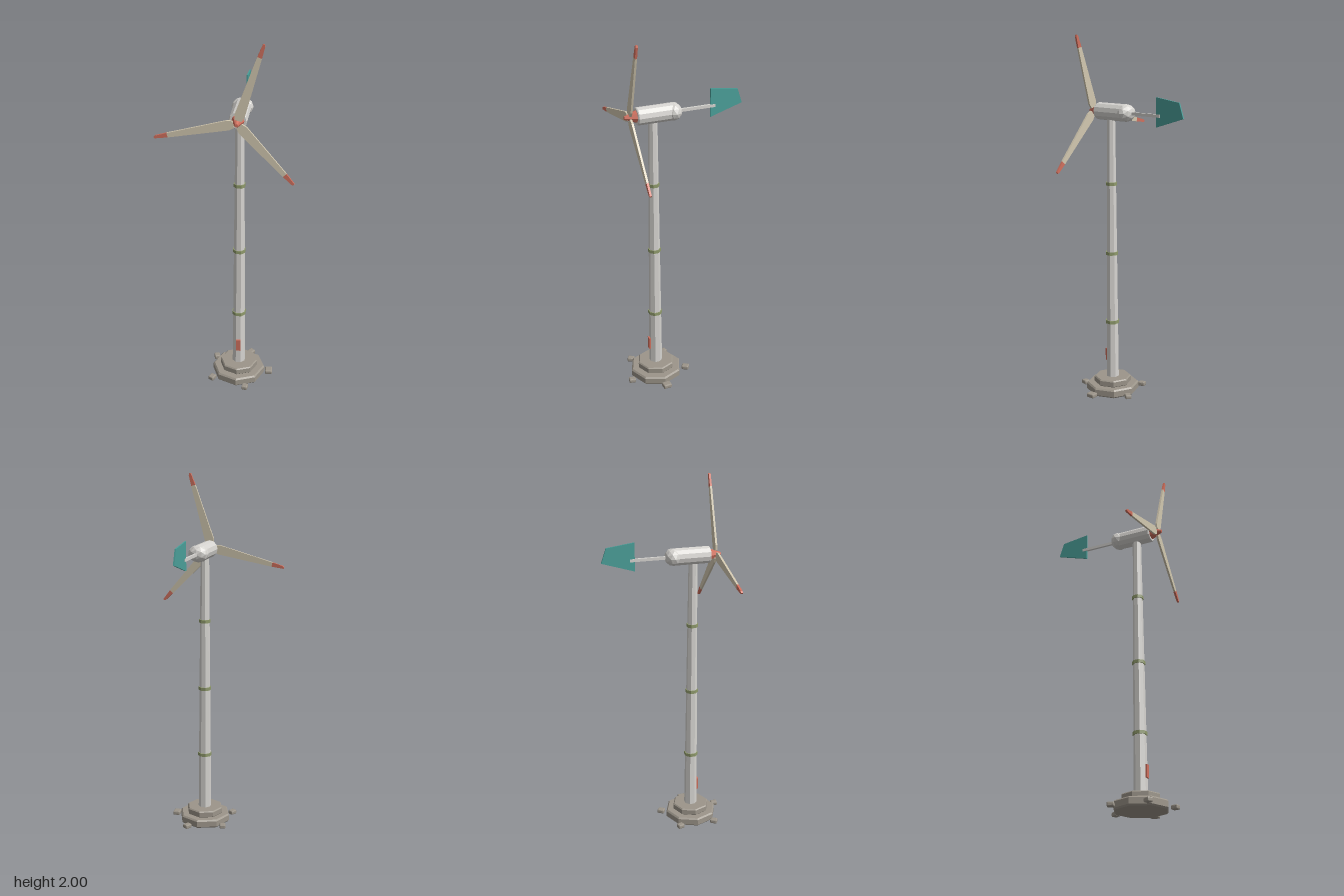
import * as THREE from 'three';
import { RoundedBoxGeometry } from 'three/addons/geometries/RoundedBoxGeometry.js';

const AX = 0.063, AZ = 0.157; // tower axis
const HUB_Y = 1.593;          // rotor axis height

export function createModel() {
  const model = new THREE.Group();
  const mat = (name, color) => {
    const m = new THREE.MeshStandardMaterial({ color, flatShading: true });
    m.name = name;
    return m;
  };
  const white = mat('pale grey paint', 0xd6d4d0);
  const stone = mat('stone', 0x9c958a);
  const cream = mat('cream blade', 0xd2c8b0);
  const red = mat('red', 0xd0705e);
  const teal = mat('teal', 0x4ba09a);
  const olive = mat('olive band', 0x8f9a6c);

  const add = (name, geo, material, x = 0, y = 0, z = 0, parent = model) => {
    const mesh = new THREE.Mesh(geo, material);
    mesh.name = name;
    mesh.position.set(x, y, z);
    parent.add(mesh);
    return mesh;
  };
  const lathe = (pts, sides) =>
    new THREE.LatheGeometry(pts.map(([r, y]) => new THREE.Vector2(r, y)), sides);
  const plate = (pts, depth) => {
    const shape = new THREE.Shape(pts.map(([x, y]) => new THREE.Vector2(x, y)));
    const geo = new THREE.ExtrudeGeometry(shape, { depth, bevelEnabled: false });
    return geo.translate(0, 0, -depth / 2);
  };

  // Stepped octagonal foundation with chamfered edges
  const slab = (r, y0, y1, c) =>
    lathe([[0, y0], [r - c, y0], [r, y0 + c], [r, y1 - c], [r - c, y1], [0, y1]], 8);
  add('lowerFoundation', slab(0.148, 0, 0.048, 0.008), stone, AX, 0, AZ);
  add('upperFoundation', slab(0.105, 0.046, 0.085, 0.006), stone, AX, 0, AZ);

  // Five loose stones around the foundation
  for (let i = 0; i < 5; i++) {
    const a = i * Math.PI * 2 / 5;
    const s = [1, 0.8, 0.82, 0.8, 0.85][i];
    const rock = add('rock', new RoundedBoxGeometry(0.041 * s, 0.024, 0.048 * s, 1, 0.006), stone,
      AX + 0.173 * Math.cos(a), 0.017, AZ + 0.173 * Math.sin(a));
    rock.rotation.y = [0.06, -0.15, -0.5, 0.3, -0.6][i];
  }

  // Tapered tower, flat side to the front
  const rBase = 0.037, rTop = 0.024, yBase = 0.08, yTop = 1.565;
  const tower = add('tower', new THREE.CylinderGeometry(rTop, rBase, yTop - yBase, 8), white,
    AX, (yBase + yTop) / 2, AZ);
  tower.rotation.y = Math.PI / 8;
  for (const y of [0.41, 0.808, 1.2]) {
    const r = rBase + (rTop - rBase) * (y - yBase) / (yTop - yBase) + 0.005;
    const band = add('towerBand', new THREE.CylinderGeometry(r, r, 0.018, 8), olive, AX, y, AZ);
    band.rotation.y = Math.PI / 8;
  }
  add('door', new THREE.BoxGeometry(0.026, 0.07, 0.012), red, AX, 0.205, AZ + 0.036);

  // Nacelle body with faceted rear dome
  const nacelle = add('nacelle', lathe([[0, 0.045], [0.047, 0.045], [0.047, 0.243],
    [0.043, 0.248], [0, 0.248]], 12), white, AX, HUB_Y, 0);
  nacelle.rotation.x = Math.PI / 2;
  const dome = add('nacelleDome', new THREE.IcosahedronGeometry(0.05, 1), white, AX, HUB_Y, 0.045);
  dome.scale.set(1.15, 0.95, 0.9);

  // Tail boom and vane
  add('tailBoom', new THREE.BoxGeometry(0.013, 0.016, 0.21), white, AX, 1.592, -0.085);
  const vane = add('tailVane', plate([[0.164, 1.688], [0.164, 1.532], [0.344, 1.588],
    [0.317, 1.668]], 0.008), teal, AX, 0, 0);
  vane.rotation.y = Math.PI / 2;

  // Rotor: nose cone and three blades with painted tips
  const rotor = new THREE.Group();
  rotor.name = 'rotor';
  rotor.position.set(AX, HUB_Y, 0.284);
  model.add(rotor);
  const nose = add('noseCone', lathe([[0, -0.038], [0.034, -0.038], [0.017, 0.004],
    [0.009, 0.027], [0, 0.027]], 8), red, 0, 0, 0, rotor);
  nose.rotation.x = Math.PI / 2;

  const bladeGeo = plate([[0.018, -0.018], [0.045, -0.026], [0.358, -0.012],
    [0.358, 0.012], [0.045, 0.026], [0.018, 0.018]], 0.011);
  const tipGeo = plate([[0.358, -0.012], [0.418, -0.008], [0.428, -0.002],
    [0.425, 0.006], [0.358, 0.012]], 0.011);
  for (let i = 0; i < 3; i++) {
    const blade = new THREE.Group();
    blade.name = 'blade';
    blade.rotation.z = THREE.MathUtils.degToRad(72.5 + i * 120);
    rotor.add(blade);
    add('bladePanel', bladeGeo, cream, 0, 0, 0, blade);
    add('bladeTip', tipGeo, red, 0, 0, 0, blade);
  }
  return model;
}
